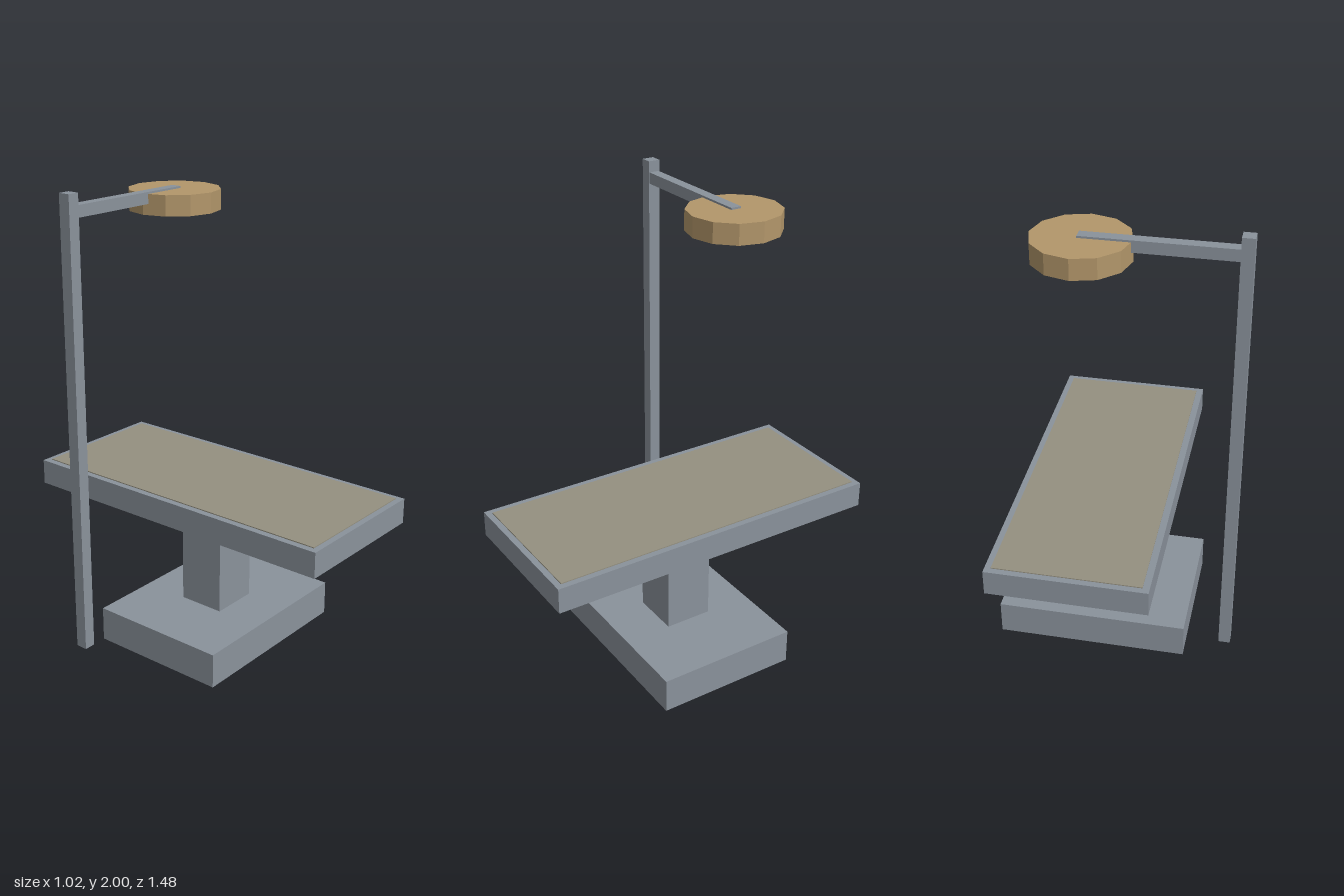
import * as THREE from 'three';

export function createModel() {
  const model = new THREE.Group();
  model.name = 'treatmentTable';

  const material = (name, color) => {
    const m = new THREE.MeshStandardMaterial({ color });
    m.name = name;
    return m;
  };
  const steel = material('steel grey', 0x8a929b);
  const padding = material('padding olive grey', 0x949080);
  const brass = material('lamp tan', 0xb2966a);
  brass.flatShading = true;

  // Box given by its extents on each axis
  const box = (name, mat, [x0, x1], [y0, y1], [z0, z1]) => {
    const mesh = new THREE.Mesh(new THREE.BoxGeometry(x1 - x0, y1 - y0, z1 - z0), mat);
    mesh.position.set((x0 + x1) / 2, (y0 + y1) / 2, (z0 + z1) / 2);
    mesh.name = name;
    model.add(mesh);
  };

  // Pedestal table
  box('base', steel, [-0.313, 0.509], [0, 0.152], [-0.311, 0.311]);
  box('column', steel, [-0.01, 0.203], [0.152, 0.61], [-0.104, 0.104]);
  box('tableTop', steel, [-0.23, 0.425], [0.61, 0.72], [-0.738, 0.738]);
  box('pad', padding, [-0.202, 0.399], [0.718, 0.724], [-0.712, 0.712]);

  // Lamp stand
  box('pole', steel, [-0.513, -0.463], [0.072, 2], [-0.273, -0.222]);
  box('arm', steel, [-0.463, 0.13], [1.905, 1.953], [-0.27, -0.225]);

  // Twelve-sided lamp head
  const lamp = new THREE.Mesh(new THREE.CylinderGeometry(0.194, 0.194, 0.085, 12), brass);
  lamp.position.set(0.119, 1.9025, -0.248);
  lamp.name = 'lampHead';
  model.add(lamp);

  return model;
}
